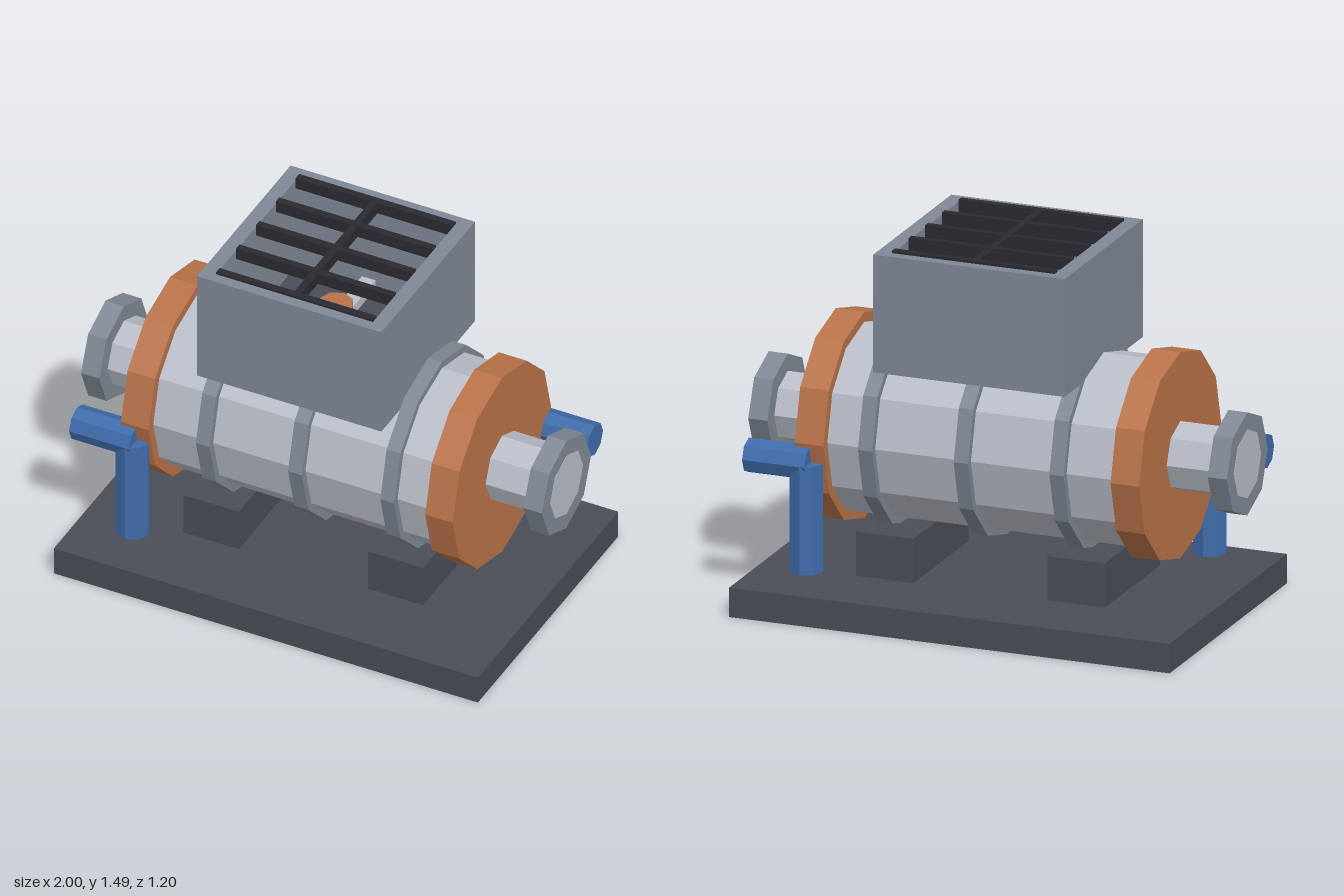
import * as THREE from 'three';

const paint = (name, hex) => {
  const m = new THREE.MeshStandardMaterial({ color: hex, flatShading: true });
  m.name = name;
  return m;
};

export function createModel() {
  const steel = paint('light steel', 0xb9bdc8);
  const grey = paint('mid grey', 0x7f8895);
  const dark = paint('dark grey', 0x4a4d57);
  const copper = paint('copper orange', 0xb97349);
  const blue = paint('pipe blue', 0x3f6cab);
  const black = paint('grate black', 0x2a2a31);

  const model = new THREE.Group();
  model.name = 'grinderMachine';

  const add = (name, geometry, material, parent = model) => {
    const mesh = new THREE.Mesh(geometry, material);
    mesh.name = name;
    parent.add(mesh);
    return mesh;
  };
  // box given by its lower and upper limits on each axis
  const box = (name, [x0, x1], [y0, y1], [z0, z1], material, parent) =>
    add(name, new THREE.BoxGeometry(x1 - x0, y1 - y0, z1 - z0), material, parent)
      .position.set((x0 + x1) / 2, (y0 + y1) / 2, (z0 + z1) / 2);
  // prism lying along x
  const barrel = (name, x0, x1, radius, sides, material, y = 0.68, z = 0, parent) =>
    add(name, new THREE.CylinderGeometry(radius, radius, Math.abs(x1 - x0), sides).rotateZ(Math.PI / 2), material, parent)
      .position.set((x0 + x1) / 2, y, z);

  // base plate and saddles
  box('basePlate', [-0.92, 0.92], [0, 0.12], [-0.6, 0.6], dark);
  for (const x of [-0.4, 0.4]) box('saddle', [x - 0.12, x + 0.12], [0.12, 0.3], [-0.28, 0.28], dark);

  // drum with its reinforcing bands
  barrel('drum', -0.6, 0.6, 0.38, 12, steel);
  for (const x of [-0.4, 0, 0.4]) barrel('drumBand', x, x + 0.06, 0.41, 12, grey);

  // end covers, stub shafts, couplings and side pipes, one set per end
  for (const s of [-1, 1]) {
    barrel('endCover', s * 0.6, s * 0.72, 0.42, 12, copper);
    barrel('stubShaft', s * 0.72, s * 1.001, 0.14, 8, steel);
    barrel('coupling', s * 0.92, s, 0.21, 8, grey);

    const pipe = new THREE.Group();
    pipe.name = 'sidePipe';
    model.add(pipe);
    barrel('pipeArm', s * 0.66, s * 0.92, 0.07, 8, blue, 0.6, -s * 0.4, pipe);
    add('pipeLeg', new THREE.CylinderGeometry(0.07, 0.07, 0.44, 8), blue, pipe)
      .position.set(s * 0.68, 0.38, -s * 0.4);
  }

  // hopper: square tube with a recessed floor
  const square = (Kind, h) => new Kind([[-h, -h], [h, -h], [h, h], [-h, h]].map(([x, y]) => new THREE.Vector2(x, y)));
  const walls = square(THREE.Shape, 0.4);
  walls.holes.push(square(THREE.Path, 0.34));
  add('hopperWalls', new THREE.ExtrudeGeometry(walls, { depth: 0.48, bevelEnabled: false }).rotateX(-Math.PI / 2), grey)
    .position.y = 1;
  box('hopperFloor', [-0.34, 0.34], [1.02, 1.061], [-0.34, 0.34], dark);

  // feed rotor inside the hopper
  const rotor = new THREE.Group();
  rotor.name = 'feedRotor';
  model.add(rotor);
  add('rotorHub', new THREE.CylinderGeometry(0.07, 0.07, 0.16, 8), copper, rotor).position.y = 1.14;
  box('rotorBlade', [-0.28, 0.28], [1.11, 1.15], [-0.03, 0.03], steel, rotor);
  box('crossBlade', [-0.03, 0.03], [1.11, 1.151], [-0.28, 0.28], steel, rotor);

  // grate over the hopper mouth
  const grate = new THREE.Group();
  grate.name = 'grate';
  model.add(grate);
  for (let i = -2; i <= 2; i++) {
    const z = i * 0.17;
    box('grateBar', [-0.34, 0.34], [1.44, 1.49], [z - 0.015, z + 0.015], black, grate);
  }
  box('grateSpine', [-0.015, 0.015], [1.44, 1.489], [-0.34, 0.34], black, grate);

  return model;
}
